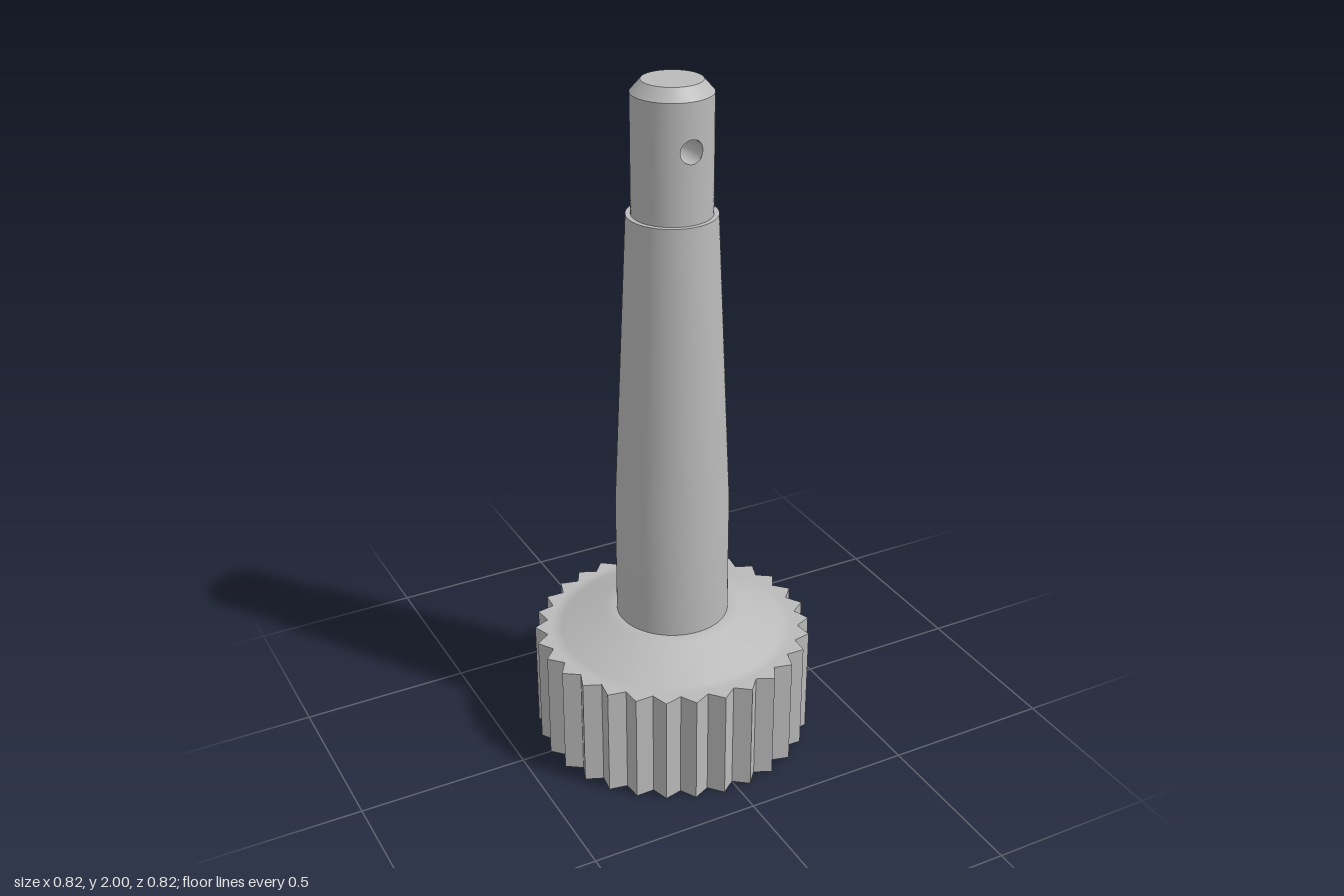
import * as THREE from 'three';

const STEEL = new THREE.MeshStandardMaterial({ color: 0xbababa, side: THREE.DoubleSide });
STEEL.name = 'plain steel';

const TEETH = 30, TIP = 0.41, ROOT = 0.375, KNOB_TOP = 0.333;
const HEAD_R = 0.112, HEAD_BOTTOM = 1.635, HEAD_TOP = 1.967;
const HOLE_R = 0.033, HOLE_Y = 1.835;

function addMesh(group, name, geometry) {
  const mesh = new THREE.Mesh(geometry, STEEL);
  mesh.name = name;
  group.add(mesh);
  return mesh;
}

// Surface of revolution from [radius, height] pairs, bottom to top
function lathe(points) {
  return new THREE.LatheGeometry(points.map(([r, y]) => new THREE.Vector2(r, y)), 96);
}

// Toothed outline, extruded upwards
function knobGeometry() {
  const outline = [];
  for (let i = 0; i < TEETH * 2; i++) {
    const a = (i * Math.PI) / TEETH, r = i % 2 ? ROOT : TIP;
    outline.push(new THREE.Vector2(r * Math.cos(a), r * Math.sin(a)));
  }
  const geometry = new THREE.ExtrudeGeometry(new THREE.Shape(outline), { depth: KNOB_TOP, bevelEnabled: false });
  return geometry.rotateX(-Math.PI / 2);
}

// Half of the cylindrical head: rings blend from the round hole to the patch border
function drilledHalf() {
  const perSide = 24, rings = 12, count = perSide * 4;
  const positions = [], normals = [], index = [];
  for (let k = 0; k <= rings; k++) {
    const f = k / rings;
    for (let i = 0; i <= count; i++) {
      const side = Math.floor(i / perSide) % 4;
      const t = ((i % perSide) / perSide) * 2 - 1;
      const [u, v] = [[1, t], [-t, 1], [-1, -t], [t, -1]][side];
      const a = Math.atan2(v, u);
      const holeTheta = Math.asin((HOLE_R * Math.cos(a)) / HEAD_R);
      const holeY = HOLE_Y + HOLE_R * Math.sin(a);
      const edgeY = v > 0 ? HOLE_Y + v * (HEAD_TOP - HOLE_Y) : HOLE_Y + v * (HOLE_Y - HEAD_BOTTOM);
      const theta = THREE.MathUtils.lerp(holeTheta, (u * Math.PI) / 2, f);
      const y = THREE.MathUtils.lerp(holeY, edgeY, f);
      positions.push(HEAD_R * Math.sin(theta), y, HEAD_R * Math.cos(theta));
      normals.push(Math.sin(theta), 0, Math.cos(theta));
      if (k < rings && i < count) {
        const p = k * (count + 1) + i, q = p + count + 1;
        index.push(p, q, q + 1, p, q + 1, p + 1);
      }
    }
  }
  const geometry = new THREE.BufferGeometry();
  geometry.setAttribute('position', new THREE.Float32BufferAttribute(positions, 3));
  geometry.setAttribute('normal', new THREE.Float32BufferAttribute(normals, 3));
  geometry.setIndex(index);
  return geometry;
}

// Inner wall of the cross hole, with ends that follow the curve of the head
function holeWall() {
  const geometry = new THREE.CylinderGeometry(HOLE_R, HOLE_R, 1, 48, 1, true).rotateX(Math.PI / 2);
  const p = geometry.attributes.position;
  for (let i = 0; i < p.count; i++) {
    p.setZ(i, Math.sign(p.getZ(i)) * Math.sqrt(HEAD_R ** 2 - p.getX(i) ** 2));
  }
  return geometry.translate(0, HOLE_Y, 0);
}

export function createModel() {
  const model = new THREE.Group();
  model.name = 'knurledPin';

  // Toothed knob and its softly shaded collar
  addMesh(model, 'toothedKnob', knobGeometry());
  addMesh(model, 'collar', lathe([[0.36, 0.3345], [0.33, 0.3345], [0.2, 0.398], [0.16, 0.398]]));

  // Straight then tapered shaft, with the step at its top
  addMesh(model, 'shaft', lathe([[0.165, 0.39], [0.165, 0.76], [0.126, HEAD_BOTTOM]]));
  addMesh(model, 'shaftStep', lathe([[0.126, HEAD_BOTTOM], [HEAD_R - 0.002, HEAD_BOTTOM]]));

  // Drilled head
  addMesh(model, 'headFront', drilledHalf());
  addMesh(model, 'headBack', drilledHalf()).rotation.y = Math.PI;
  addMesh(model, 'crossHole', holeWall());

  // Chamfered end
  addMesh(model, 'headChamfer', lathe([[HEAD_R, HEAD_TOP], [0.083, 2]]));
  addMesh(model, 'headEnd', lathe([[0.083, 2], [0, 2]]));
  return model;
}
